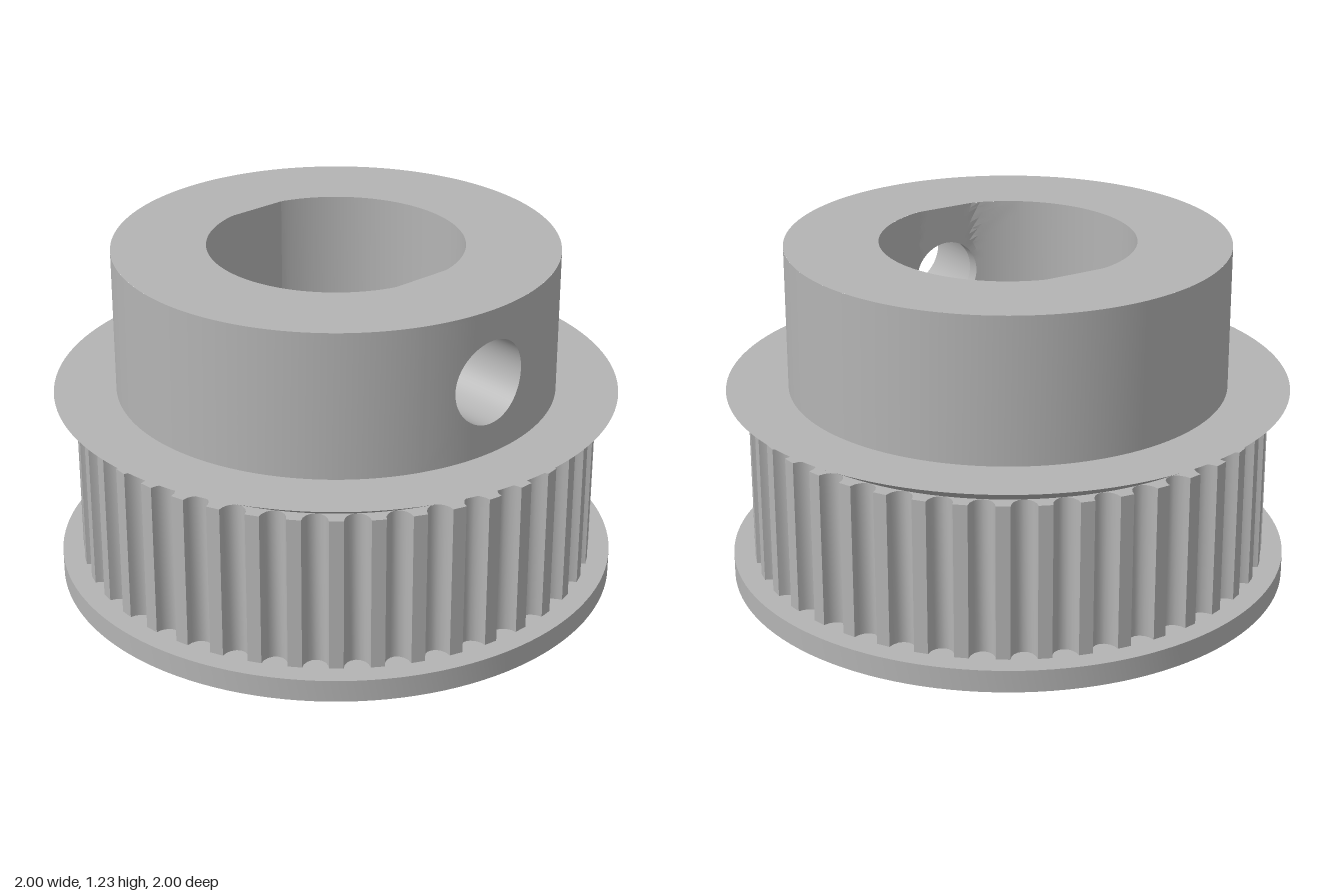
import * as THREE from 'three';
import { mergeGeometries, toCreasedNormals } from 'three/addons/utils/BufferGeometryUtils.js';

const RIM = 1, HUB = 0.78, TIP = 0.925, BORE = 0.45, FLAT = 0.435;
const Y_BASE = 0.08, Y_TEETH = 0.635, Y_FLANGE = 0.71, Y_TOP = 1.23;
const HOLE_Y = 0.97, PATCH = 0.26, HOLE_OUT = 0.15, HOLE_IN = 0.125, STEP_X = 0.48;
const TEETH = 42, SEG = 160;

// Parametric sheet: fn(u, v) -> [x, y, z]; faces along du x dv unless flipped
function sheet(nu, nv, fn, flip = false) {
  const pos = [], idx = [];
  for (let j = 0; j <= nv; j++) for (let i = 0; i <= nu; i++) pos.push(...fn(i / nu, j / nv));
  for (let j = 0; j < nv; j++) for (let i = 0; i < nu; i++) {
    const a = j * (nu + 1) + i, b = a + 1, c = a + nu + 1, d = c + 1;
    if (flip) idx.push(a, c, b, b, c, d);
    else idx.push(a, b, c, b, d, c);
  }
  const g = new THREE.BufferGeometry();
  g.setAttribute('position', new THREE.Float32BufferAttribute(pos, 3));
  g.setIndex(idx);
  return g;
}

// Surface x for a given z, on the +x side
const hubX = z => Math.sqrt(HUB * HUB - z * z);
const boreX = z => Math.min(FLAT, Math.sqrt(BORE * BORE - z * z));

// Upright wall following a plan outline between two angles
const wall = (plan, a0, a1, y0, y1, flip) => sheet(SEG, 1, (u, v) => {
  const [x, z] = plan(a0 + (a1 - a0) * u);
  return [x, y0 + (y1 - y0) * v, z];
}, flip);
const hubPlan = a => [HUB * Math.cos(a), HUB * Math.sin(a)];
const borePlan = a => [THREE.MathUtils.clamp(BORE * Math.cos(a), -FLAT, FLAT), BORE * Math.sin(a)];

// Square piece of curved wall pierced by a round hole
const pierced = (xAt, r, flip) => sheet(64, 8, (u, v) => {
  const p = u * Math.PI * 2, c = Math.cos(p), s = Math.sin(p);
  const k = THREE.MathUtils.lerp(r, PATCH / Math.max(Math.abs(c), Math.abs(s)), v);
  return [xAt(k * c), HOLE_Y + k * s, k * c];
}, flip);

// Inside of the screw hole between two surfaces
const sleeve = (r, from, to) => sheet(64, 1, (u, v) => {
  const p = u * Math.PI * 2, z = r * Math.cos(p);
  return [THREE.MathUtils.lerp(from(z), to(z), v), HOLE_Y + r * Math.sin(p), z];
});

// Flat disc with the double-flat bore cut out
function washer(radius, y, up) {
  const s = new THREE.Shape().absarc(0, 0, radius, 0, Math.PI * 2);
  const pts = [];
  for (let i = 0; i < SEG; i++) pts.push(new THREE.Vector2(...borePlan(i / SEG * Math.PI * 2)));
  s.holes.push(new THREE.Path(pts));
  const g = new THREE.ShapeGeometry(s, 64);
  g.deleteAttribute('normal');
  g.deleteAttribute('uv');
  return g.rotateX(up ? -Math.PI / 2 : Math.PI / 2).translate(0, y, 0);
}

function lathe(points) {
  const g = new THREE.LatheGeometry(points.map(p => new THREE.Vector2(...p)), 128);
  g.deleteAttribute('normal');
  g.deleteAttribute('uv');
  return g;
}

// Toothed ring with rounded grooves
function toothRing() {
  const pts = [];
  for (let i = 0; i < TEETH; i++) {
    const mid = -Math.PI / 4 + i / TEETH * Math.PI * 2;
    for (let k = 0; k <= 8; k++) {
      const p = k / 8 * Math.PI;
      const a = mid - 0.045 / TIP * Math.cos(p), r = TIP - 0.053 * Math.sin(p);
      pts.push(new THREE.Vector2(r * Math.cos(a), r * Math.sin(a)));
    }
  }
  const s = new THREE.Shape(pts);
  s.holes.push(new THREE.Path().absarc(0, 0, 0.6, 0, Math.PI * 2));
  const g = new THREE.ExtrudeGeometry(s, { depth: Y_TEETH - Y_BASE, bevelEnabled: false, curveSegments: 24 });
  return g.rotateX(-Math.PI / 2).translate(0, Y_BASE, 0);
}

export function createModel() {
  const group = new THREE.Group();
  group.name = 'timingPulley';
  const metal = new THREE.MeshStandardMaterial({ color: 0xb4b4b4 });
  metal.name = 'grey metal';
  const add = (name, parts, crease = 0.2) => {
    const g = parts.length > 1 ? mergeGeometries(parts) : parts[0];
    const mesh = new THREE.Mesh(toCreasedNormals(g, crease), metal);
    mesh.name = name;
    group.add(mesh);
  };
  const full = Math.PI * 2;

  // Flanges and teeth
  add('bottomFlange', [washer(RIM, 0, false), lathe([[RIM, 0], [RIM, Y_BASE], [0.8, Y_BASE]])]);
  add('toothRing', [toothRing()], 0.6);
  add('topFlange', [lathe([[0.863, 0.63], [RIM, Y_FLANGE], [0.77, Y_FLANGE]])]);

  // Hub wall and top, leaving room for the pierced piece
  const ah = Math.asin(PATCH / HUB), ab = Math.asin(PATCH / BORE);
  add('hub', [
    wall(hubPlan, ah, full - ah, Y_FLANGE, Y_TOP, true),
    pierced(hubX, HOLE_OUT, false),
  ]);
  add('hubTop', [washer(HUB, Y_TOP, true)]);

  // Bore with two flats
  add('bore', [
    wall(borePlan, 0, full, 0, Y_FLANGE, false),
    wall(borePlan, ab, full - ab, Y_FLANGE, Y_TOP, false),
    pierced(boreX, HOLE_IN, true),
  ]);

  // Stepped set screw hole
  const step = () => STEP_X;
  add('screwHole', [
    sleeve(HOLE_OUT, step, hubX),
    sleeve(HOLE_IN, boreX, step),
    sheet(64, 1, (u, v) => {
      const r = THREE.MathUtils.lerp(HOLE_IN, HOLE_OUT, v), p = u * full;
      return [STEP_X, HOLE_Y + r * Math.sin(p), r * Math.cos(p)];
    }),
  ]);
  return group;
}
